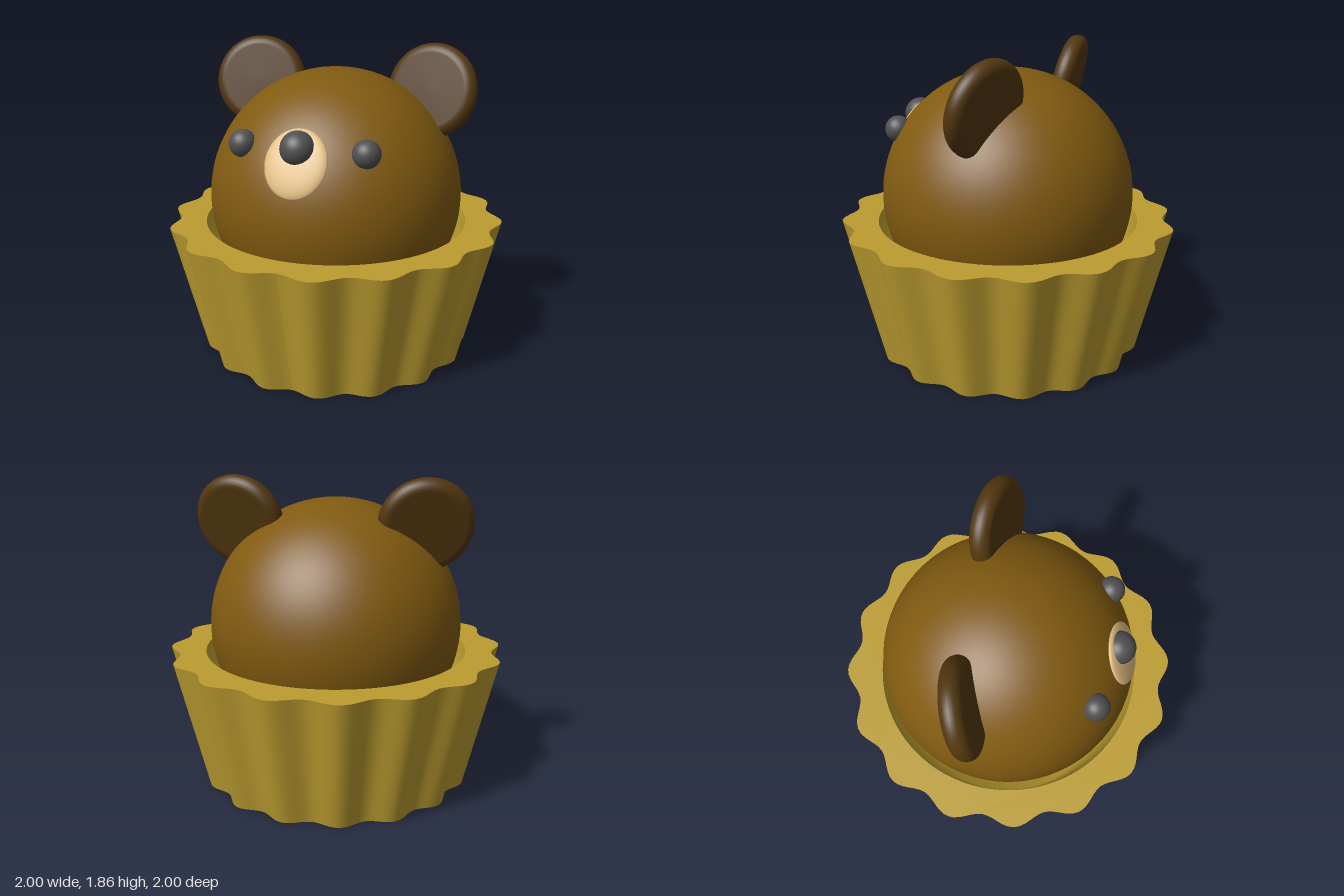
import * as THREE from 'three';

const mat = (name, color) => new THREE.MeshStandardMaterial({ name, color });

export function createModel() {
  const gold = mat('golden wrapper', 0xbc9d30);
  const brown = mat('brown fur', 0x805a10);
  const dark = mat('dark brown ear', 0x52370f);
  const tan = mat('tan muzzle', 0xe0bc80);
  const grey = mat('charcoal', 0x505052);

  const model = new THREE.Group();
  model.name = 'bearCupcake';
  const add = (name, geometry, material, x = 0, y = 0, z = 0) => {
    const mesh = new THREE.Mesh(geometry, material);
    mesh.name = name;
    mesh.position.set(x, y, z);
    model.add(mesh);
    return mesh;
  };

  // Wrapper: sixteen soft flutes, narrowing towards the base
  const N = 192, H = 0.8, TAPER = 0.815;
  const flute = (a) => 0.9875 - 0.0325 * Math.cos(16 * a);
  const outline = (scale) => {
    const pts = [];
    for (let i = 0; i < N; i++) {
      const a = (i / N) * Math.PI * 2, r = flute(a) * scale;
      pts.push(new THREE.Vector2(r * Math.sin(a), r * Math.cos(a)));
    }
    return new THREE.Shape(pts);
  };

  const wall = new THREE.CylinderGeometry(1, TAPER, H, N, 1, true);
  const p = wall.attributes.position;
  for (let i = 0; i < p.count; i++) {
    const f = flute(Math.atan2(p.getX(i), p.getZ(i)));
    p.setXYZ(i, p.getX(i) * f, p.getY(i) + H / 2, p.getZ(i) * f);
  }
  wall.computeVertexNormals();
  add('wrapperWall', wall, gold);

  const rim = outline(1);
  rim.holes.push(new THREE.Path().absarc(0, 0, 0.8, 0, Math.PI * 2, true));
  add('wrapperRim', new THREE.ShapeGeometry(rim, 48).rotateX(-Math.PI / 2), gold, 0, H, 0);
  add('wrapperBase', new THREE.ShapeGeometry(outline(TAPER)).rotateX(Math.PI / 2), gold);

  // Hollow inside of the wrapper, from rim down to its floor
  const inside = new THREE.LatheGeometry(
    [[0.8, H], [0.67, 0.1], [0, 0.1]].map(([r, y]) => new THREE.Vector2(r, y)), 96);
  const lining = gold.clone();
  lining.side = THREE.DoubleSide;
  add('wrapperInside', inside, lining);

  // Head
  add('head', new THREE.SphereGeometry(0.765, 64, 48), brown, 0, 0.95, 0);

  // Ears: round discs with a fully rounded edge, leaning back and turned outwards
  const R = 0.28, T = 0.062;
  const profile = [new THREE.Vector2(0, -T)];
  for (let i = 0; i <= 12; i++) {
    const a = -Math.PI / 2 + (i / 12) * Math.PI;
    profile.push(new THREE.Vector2(R - T + T * Math.cos(a), T * Math.sin(a)));
  }
  profile.push(new THREE.Vector2(0, T));
  const earGeo = new THREE.LatheGeometry(profile, 48).rotateX(Math.PI / 2);

  for (const [side, s] of [['left', 1], ['right', -1]]) {
    const ear = add(side + 'Ear', earGeo, dark, s * 0.547, 1.585, -0.15);
    ear.rotation.set(-0.24, -s * 0.21, 0);
    add(side + 'Eye', new THREE.SphereGeometry(0.079, 24, 16), grey, s * 0.358, 1.363, 0.548);
  }

  // Muzzle pad lying on the curve of the face, with the nose on top
  const muzzle = add('muzzle', new THREE.SphereGeometry(1, 40, 24), tan, 0, 1.307, 0.66);
  muzzle.scale.set(0.178, 0.196, 0.036);
  muzzle.rotation.x = -0.49;
  add('nose', new THREE.SphereGeometry(0.097, 28, 20), grey, 0, 1.383, 0.63);

  return model;
}
